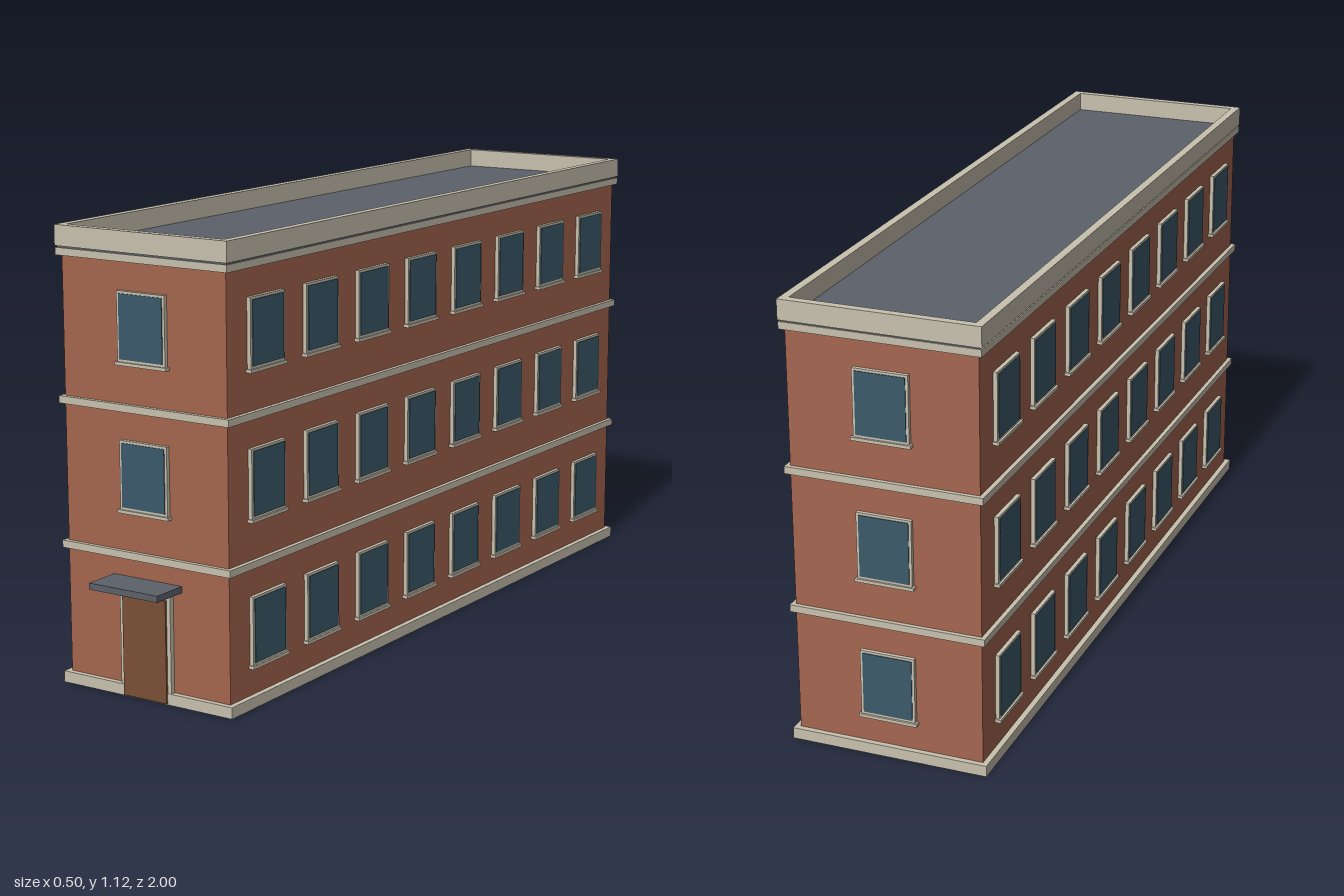
import * as THREE from 'three';

const mat = (name, color) => {
  const m = new THREE.MeshStandardMaterial({ color });
  m.name = name;
  return m;
};

export function createModel() {
  const brick = mat('brick red', 0xa5664f);
  const trim = mat('stone trim', 0xc8c1af);
  const glass = mat('window glass', 0x3c5a6b);
  const wood = mat('door brown', 0x7b5037);
  const slate = mat('slate grey', 0x5c6069);

  const HX = 0.236, HZ = 0.945; // half width and length of the walls
  const FLOOR = 0.354;
  const model = new THREE.Group();
  model.name = 'building';
  const body = new THREE.Group();
  body.name = 'block';
  body.position.z = -0.04;
  model.add(body);

  // box given by its size, x/z centre and bottom height
  function box(parent, name, material, w, h, d, x, y, z) {
    const m = new THREE.Mesh(new THREE.BoxGeometry(w, h, d), material);
    m.name = name;
    m.position.set(x, y + h / 2, z);
    parent.add(m);
    return m;
  }

  // full-width slab overhanging the walls by o
  const slab = (name, material, o, y, h) =>
    box(body, name, material, 2 * (HX + o), h, 2 * (HZ + o), 0, y, 0);

  // walls, plinth, floor bands and roof
  slab('walls', brick, 0, 0.01, 1.045);
  slab('plinth', trim, 0.014, 0, 0.028);
  slab('lowerBand', trim, 0.011, 0.338, 0.018);
  slab('upperBand', trim, 0.011, 0.692, 0.018);
  slab('cornice', trim, 0.011, 1.046, 0.018);
  slab('roof', slate, 0.008, 1.063, 0.007);

  // parapet ring
  const rect = (P, x, z) =>
    new P([[-x, -z], [x, -z], [x, z], [-x, z]].map(([a, b]) => new THREE.Vector2(a, b)));
  const ring = rect(THREE.Shape, HX + 0.012, HZ + 0.012);
  ring.holes.push(rect(THREE.Path, HX - 0.009, HZ - 0.009));
  const parapetGeo = new THREE.ExtrudeGeometry(ring, { depth: 0.05, bevelEnabled: false });
  parapetGeo.rotateX(-Math.PI / 2);
  const parapet = new THREE.Mesh(parapetGeo, trim);
  parapet.name = 'parapet';
  parapet.position.y = 1.068;
  body.add(parapet);

  // window with frame, pane and sill, facing local +z
  function addWindow(x, z, angle, floor) {
    const g = new THREE.Group();
    g.name = 'window';
    g.position.set(x, 0.102 + floor * FLOOR, z);
    g.rotation.y = angle;
    box(g, 'frame', trim, 0.138, 0.168, 0.01, 0, 0, 0.005);
    box(g, 'pane', glass, 0.125, 0.155, 0.008, 0, 0.007, 0.008);
    box(g, 'sill', trim, 0.148, 0.008, 0.015, 0, -0.007, 0.0075);
    body.add(g);
  }
  for (let f = 0; f < 3; f++) {
    for (let i = 0; i < 8; i++) {
      const z = (i - 3.5) * 0.2275;
      addWindow(HX, z, Math.PI / 2, f);
      addWindow(-HX, z, -Math.PI / 2, f);
    }
    addWindow(0, -HZ, Math.PI, f);
    if (f > 0) addWindow(0, HZ, 0, f);
  }

  // entrance: frame, door and canopy
  const entrance = new THREE.Group();
  entrance.name = 'entrance';
  entrance.position.z = HZ;
  body.add(entrance);
  box(entrance, 'doorFrame', trim, 0.148, 0.264, 0.013, 0, 0, 0.0065);
  box(entrance, 'door', wood, 0.127, 0.253, 0.018, 0, 0.003, 0.009);
  box(entrance, 'canopy', slate, 0.2, 0.016, 0.095, 0, 0.277, 0.0475);

  return model;
}
